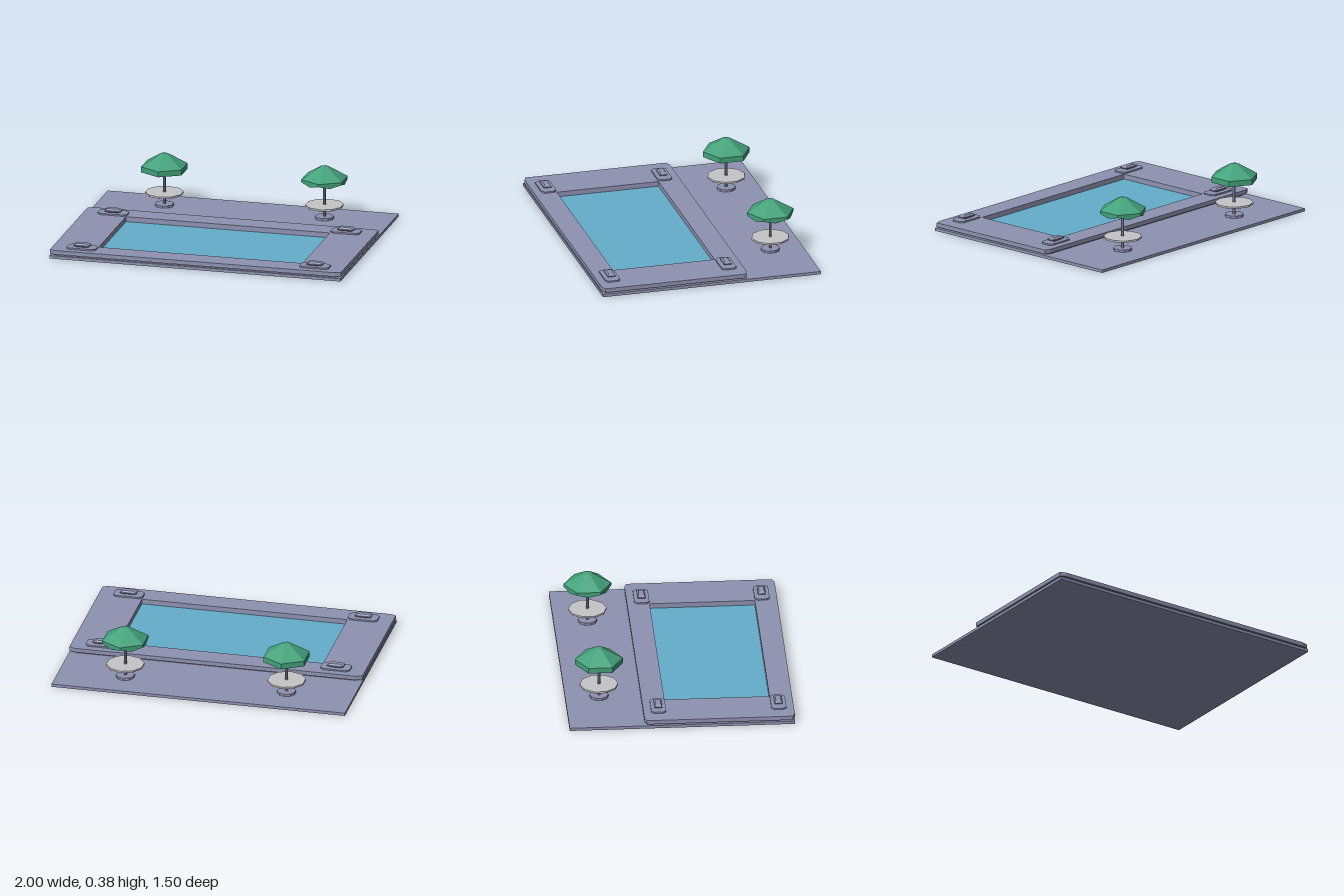
import * as THREE from 'three';

const mat = (name, color, extra = {}) =>
  new THREE.MeshStandardMaterial({ name, color, flatShading: true, ...extra });

// Slab with cut corners (and an optional rectangular opening) lying in the xz plane
function slab(x0, x1, z0, z1, cutX, cutZ, bottom, top, hole) {
  const shape = new THREE.Shape([
    [x0 + cutX, z0], [x1 - cutX, z0], [x1, z0 + cutZ], [x1, z1 - cutZ],
    [x1 - cutX, z1], [x0 + cutX, z1], [x0, z1 - cutZ], [x0, z0 + cutZ],
  ].map(([x, z]) => new THREE.Vector2(x, z)));
  if (hole) {
    const [a, b, c, d] = hole;
    shape.holes.push(new THREE.Path([[a, c], [a, d], [b, d], [b, c]]
      .map(([x, z]) => new THREE.Vector2(x, z))));
  }
  const g = new THREE.ExtrudeGeometry(shape, { depth: top - bottom, bevelEnabled: false });
  g.rotateX(Math.PI / 2);
  g.translate(0, top, 0);
  return g;
}

// Six-sided canopy shell; dip lowers or lifts the hem between corner and panel middle
function canopyGeometry(cornerHem, middleHem) {
  const pts = [[0.16, 0], [0.16, 0.302], [0.03, 0.38], [0, 0.385]]
    .map(([r, y]) => new THREE.Vector2(r, y));
  const g = new THREE.LatheGeometry(pts, 12);
  const p = g.attributes.position;
  for (let i = 0; i < p.count; i++) {
    const middle = Math.floor(i / pts.length) % 2 === 1;
    const k = middle ? Math.cos(Math.PI / 6) : 1;
    p.setX(i, p.getX(i) * k);
    p.setZ(i, p.getZ(i) * k);
    if (i % pts.length === 0) p.setY(i, middle ? middleHem : cornerHem);
  }
  g.computeVertexNormals();
  return g;
}

export function createModel() {
  const model = new THREE.Group();
  model.name = 'poolTerrace';
  const slate = mat('slate', 0x8f93b1);
  const water = mat('water', 0x64aecb);
  const green = mat('canopyGreen', 0x43a27b, { side: THREE.DoubleSide });
  const pale = mat('paleGrey', 0xc6c4c8);

  const add = (parent, name, geometry, material, x = 0, y = 0, z = 0) => {
    const mesh = new THREE.Mesh(geometry, material);
    mesh.name = name;
    mesh.position.set(x, y, z);
    parent.add(mesh);
    return mesh;
  };

  // Ground slab, recessed plinth and raised deck around the pool
  const pool = [-0.7, 0.7, -0.1, 0.6];
  add(model, 'groundSlab', new THREE.BoxGeometry(2, 0.02, 1.5), slate, 0, 0.01, 0);
  add(model, 'deckPlinth', slab(-0.975, 0.975, -0.235, 0.735, 0.03, 0.012, 0.02, 0.03, pool), slate);
  add(model, 'deck', slab(-1, 1, -0.25, 0.75, 0.04, 0.015, 0.03, 0.058, pool), slate);
  add(model, 'poolWater', new THREE.BoxGeometry(1.4, 0.004, 0.7), water, 0, 0.022, 0.25);

  // Corner pads with faceted blocks
  const padGeo = slab(-0.1, 0.1, -0.05, 0.05, 0.02, 0.02, 0.058, 0.068);
  const blockGeo = new THREE.LatheGeometry(
    [[0.6, 0.068], [1, 0.077], [1, 0.083], [0.65, 0.094], [0, 0.094]]
      .map(([r, y]) => new THREE.Vector2(r * Math.SQRT2, y)), 4);
  blockGeo.rotateY(Math.PI / 4);
  blockGeo.scale(0.055, 1, 0.026);
  for (const x of [-0.8, 0.8]) {
    for (const z of [-0.15, 0.65]) {
      add(model, 'cornerPad', padGeo, slate, x, 0, z);
      add(model, 'cornerBlock', blockGeo, slate, x, 0, z);
    }
  }

  // Parasol tables; the left one has a pointed hem
  for (const side of [-1, 1]) {
    const parasol = new THREE.Group();
    parasol.name = side > 0 ? 'leftParasol' : 'rightParasol';
    parasol.position.set(side * 0.55, 0, -0.525);
    model.add(parasol);
    add(parasol, 'foot', new THREE.CylinderGeometry(0.063, 0.063, 0.016, 10), slate, 0, 0.028, 0);
    add(parasol, 'pole', new THREE.CylinderGeometry(0.01, 0.01, 0.35, 8), slate, 0, 0.195, 0);
    add(parasol, 'tableTop', new THREE.CylinderGeometry(0.128, 0.128, 0.012, 10), pale, 0, 0.111, 0);
    add(parasol, 'canopy', side > 0 ? canopyGeometry(0.284, 0.264) : canopyGeometry(0.264, 0.264), green);
  }
  return model;
}
